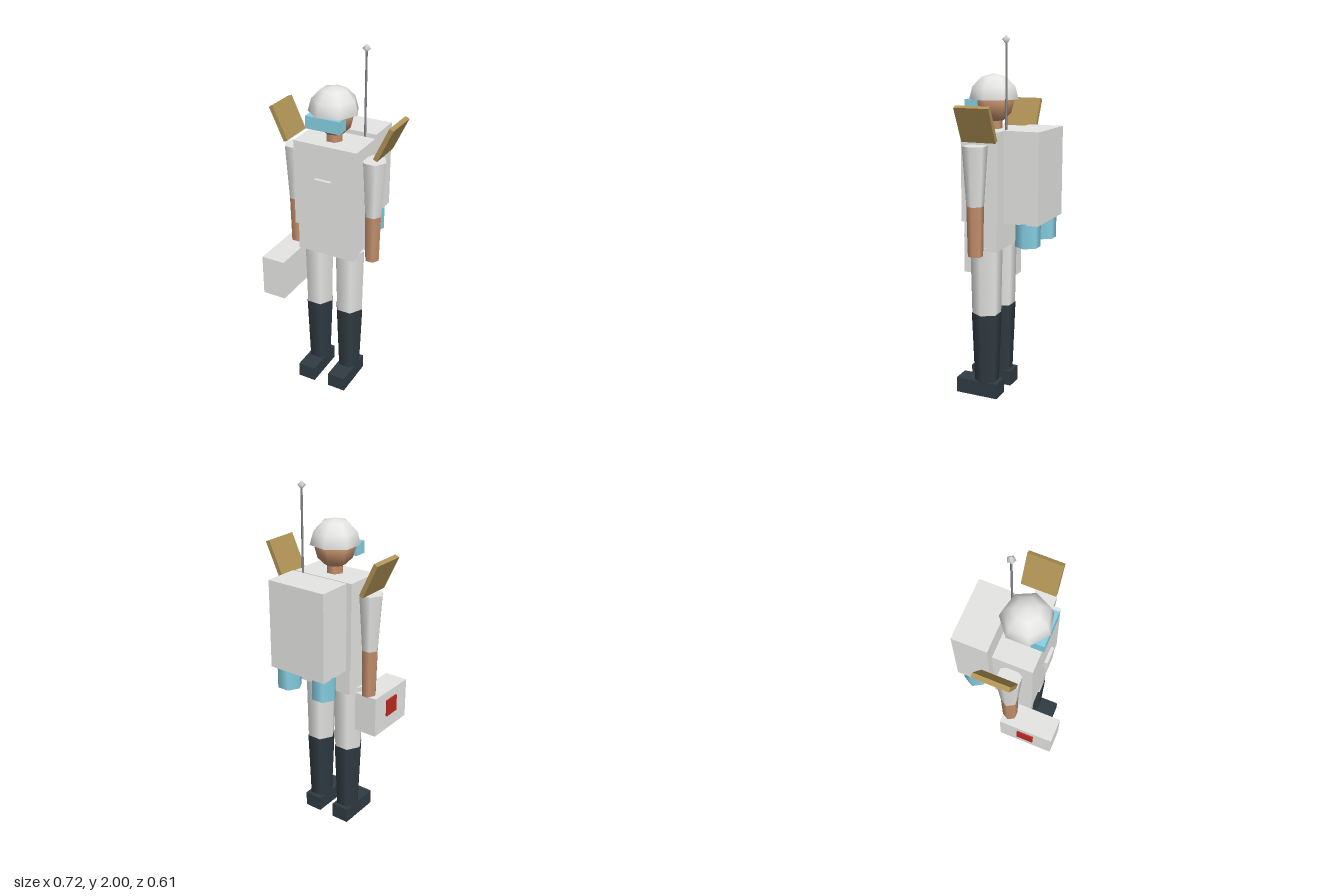
import * as THREE from 'three';

const mat = (name, color) => {
  const m = new THREE.MeshStandardMaterial({ color });
  m.name = name;
  return m;
};

export function createModel() {
  const white = mat('white', 0xe6e6e4);
  const skin = mat('skin', 0xc6926e);
  const boot = mat('dark boot', 0x303b43);
  const cyan = mat('cyan', 0x87d0e4);
  const gold = mat('gold', 0xb09355);
  const red = mat('red', 0xbc2a20);
  const grey = mat('grey metal', 0x8a8c8e);

  const model = new THREE.Group();
  model.name = 'fieldMedic';

  const add = (name, geometry, material, x = 0, y = 0, z = 0) => {
    const mesh = new THREE.Mesh(geometry, material);
    mesh.name = name;
    mesh.position.set(x, y, z);
    model.add(mesh);
    return mesh;
  };
  // Box given by its lower and upper corners
  const box = (name, material, [x0, y0, z0], [x1, y1, z1]) =>
    add(name, new THREE.BoxGeometry(x1 - x0, y1 - y0, z1 - z0), material,
      (x0 + x1) / 2, (y0 + y1) / 2, (z0 + z1) / 2);
  // Upright six-sided tapered limb with a corner facing sideways
  const limb = (name, material, x, z, y0, y1, rBottom, rTop) =>
    add(name, new THREE.CylinderGeometry(rTop, rBottom, y1 - y0, 6, 1, false, Math.PI / 6),
      material, x, (y0 + y1) / 2, z);

  const midZ = 0.028;

  // Body
  box('torso', white, [-0.185, 1.02, -0.08], [0.185, 1.51, 0.135]);
  box('pelvis', white, [-0.168, 0.862, -0.065], [0.168, 1.02, 0.127]);
  box('chestPlate', white, [-0.047, 1.23, 0.145], [0.047, 1.325, 0.163]);
  limb('neck', skin, 0, midZ, 1.49, 1.58, 0.047, 0.047);

  // Head, helmet and goggles
  add('head', new THREE.SphereGeometry(0.11, 7, 6), skin, 0, 1.65, midZ).rotation.y = Math.PI;
  add('helmet', new THREE.SphereGeometry(0.136, 7, 3, 0, Math.PI * 2, 0, Math.PI / 2),
    white, 0, 1.667, midZ).rotation.y = Math.PI;
  add('helmetUnderside', new THREE.CircleGeometry(0.136, 7), white, 0, 1.667, midZ)
    .rotation.x = Math.PI / 2;
  box('goggles', cyan, [-0.098, 1.6, 0.085], [0.098, 1.668, 0.156]);

  // Mirrored limbs, shoulder panels and canisters
  for (const [side, s] of [['left', 1], ['right', -1]]) {
    limb(side + 'UpperArm', white, s * 0.234, midZ, 1.122, 1.44, 0.047, 0.068);
    limb(side + 'Forearm', skin, s * 0.234, midZ, 0.848, 1.122, 0.041, 0.047);
    limb(side + 'Thigh', white, s * 0.097, midZ, 0.49, 0.88, 0.081, 0.089);
    limb(side + 'BootShaft', boot, s * 0.097, midZ, 0.08, 0.49, 0.068, 0.084);
    const foot = box(side + 'Foot', boot, [-0.0525, 0, -0.055], [0.0525, 0.087, 0.195]);
    foot.position.x = s * 0.099;
    const panel = add(side + 'ShoulderPanel', new THREE.BoxGeometry(0.025, 0.2, 0.194),
      gold, s * 0.306, 1.559, -0.012);
    panel.rotation.z = -s * 0.44;
    limb(side + 'Canister', cyan, s * 0.117, -0.226, 0.903, 1.037, 0.068, 0.068);
  }

  // Backpack and antenna
  box('backpack', white, [-0.176, 1.03, -0.305], [0.176, 1.52, -0.11]);
  add('antennaRod', new THREE.CylinderGeometry(0.006, 0.006, 0.48, 5), grey, 0.117, 1.73, -0.098);
  add('antennaTip', new THREE.SphereGeometry(0.023, 5, 2), white, 0.117, 1.978, -0.098)
    .rotation.y = Math.PI;

  // Hand-carried case with a red badge on its outer side
  box('carryCase', white, [-0.303, 0.62, -0.007], [-0.167, 0.853, 0.302]);
  box('caseBadge', red, [-0.312, 0.705, 0.098], [-0.303, 0.803, 0.194]);

  return model;
}
